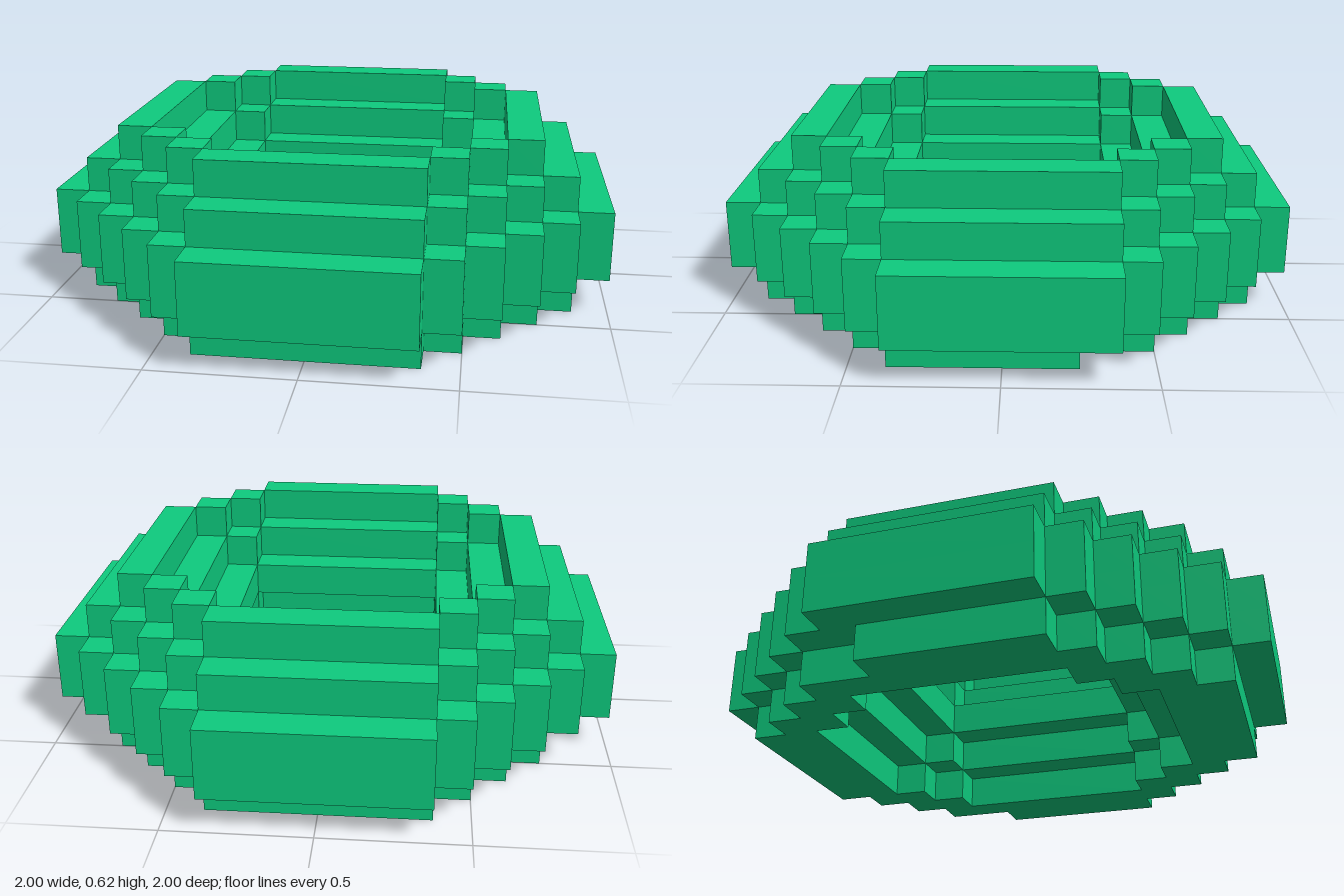
import * as THREE from 'three';

const U = 0.125; // edge length of one block

// Stepped octagon of blocks with radius n and flat sides 6 blocks long.
// Rows run from -n to n; notchRow optionally loses one block at each end.
function steppedOutline(n, notchRow) {
  const right = [];
  for (let row = -n; row < n; row++) {
    const dist = row < 0 ? -row - 1 : row;
    let w = dist < 3 ? n : n + 2 - dist;
    if (row === notchRow) w -= 1;
    const last = right[right.length - 1];
    if (last && last[0] === w) last[1] = row + 1;
    else right.push([w, row], [w, row + 1]);
  }
  const left = right.map(([x, y]) => [-x, y]).reverse();
  return [...right, ...left].map(([x, y]) => new THREE.Vector2(x * U, y * U));
}

export function createModel() {
  const group = new THREE.Group();
  group.name = 'blockRing';
  const green = new THREE.MeshStandardMaterial({ color: 0x0ecb7e });
  green.name = 'green';

  // Ring layers from bottom to top: outer radius, hole radius, notched row
  const layers = [
    { name: 'baseLayer', outer: 7, hole: 5, notch: 2 },
    { name: 'lowerLayer', outer: 8, hole: 4 },
    { name: 'middleLayer', outer: 8, hole: 3 },
    { name: 'upperLayer', outer: 7, hole: 4 },
    { name: 'topLayer', outer: 6, hole: 5 },
  ];
  layers.forEach(({ name, outer, hole, notch }, i) => {
    const shape = new THREE.Shape(steppedOutline(outer, notch));
    shape.holes.push(new THREE.Path(steppedOutline(hole)));
    const geometry = new THREE.ExtrudeGeometry(shape, { depth: U, bevelEnabled: false });
    geometry.rotateX(-Math.PI / 2);
    const mesh = new THREE.Mesh(geometry, green);
    mesh.name = name;
    mesh.position.y = i * U;
    group.add(mesh);
  });
  return group;
}
